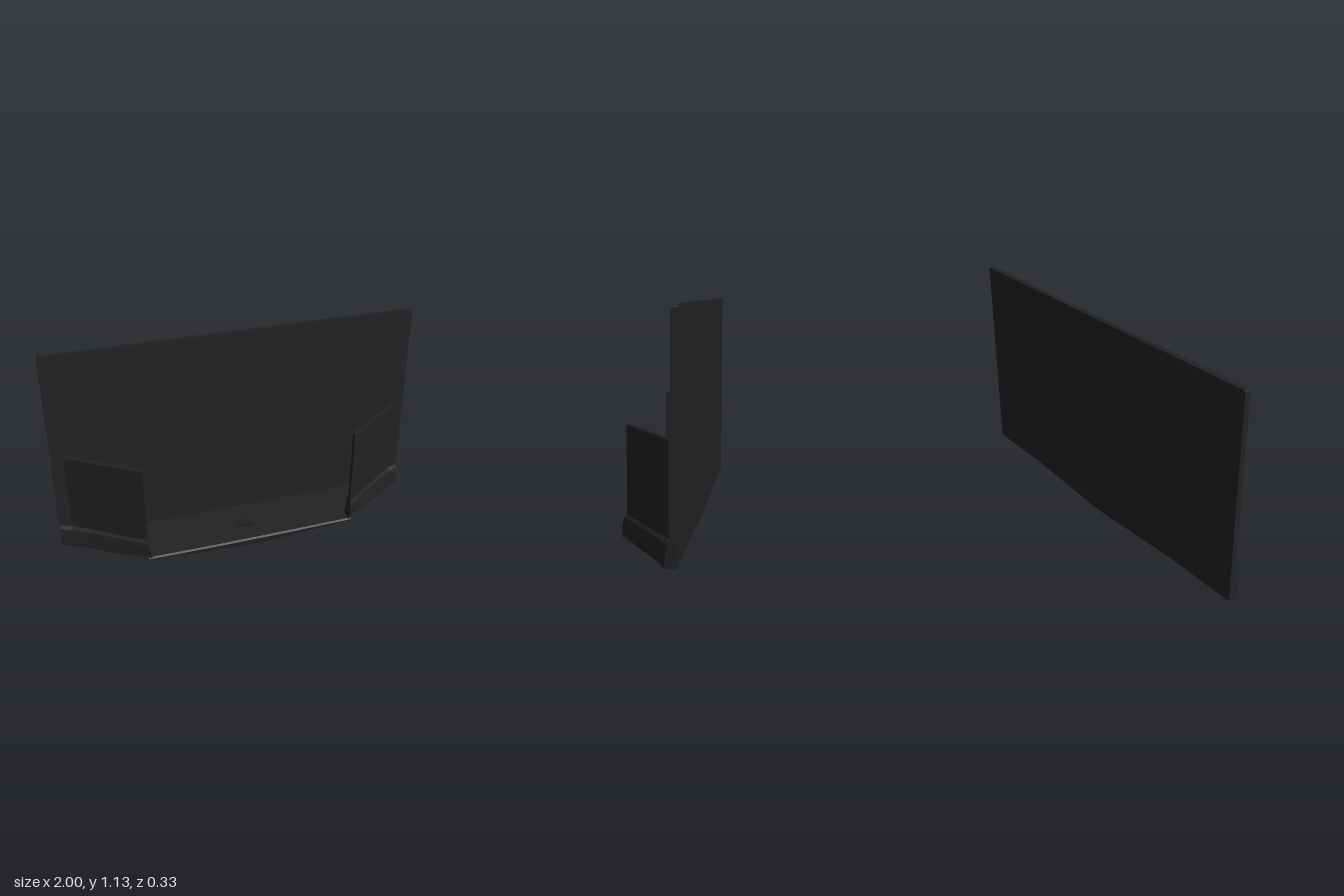
import * as THREE from 'three';

// Closed, flat-shaded skin through rings of [x, y, z] points running towards +x.
// Each ring goes top back, top front, bottom front, bottom back.
function loft(rings) {
  const n = rings[0].length, pos = [];
  const tri = (a, b, c) => pos.push(...a, ...b, ...c);
  for (let i = 0; i < rings.length - 1; i++) {
    const a = rings[i], b = rings[i + 1];
    for (let j = 0; j < n; j++) {
      const k = (j + 1) % n;
      tri(a[j], a[k], b[j]);
      tri(a[k], b[k], b[j]);
    }
  }
  const first = rings[0], last = rings[rings.length - 1];
  for (let j = 1; j < n - 1; j++) {
    tri(first[0], first[j + 1], first[j]);
    tri(last[0], last[j], last[j + 1]);
  }
  const g = new THREE.BufferGeometry();
  g.setAttribute('position', new THREE.Float32BufferAttribute(pos, 3));
  g.computeVertexNormals();
  return g;
}

// Mirror rings to the other side, keeping them running towards +x
const mirror = (rings) => rings.map((r) => r.map(([x, y, z]) => [-x, y, z])).reverse();

export function createModel() {
  const model = new THREE.Group();
  model.name = 'displayStand';
  const charcoal = new THREE.MeshStandardMaterial({ color: 0x222222 });
  charcoal.name = 'charcoal';
  const add = (name, geometry) => {
    const mesh = new THREE.Mesh(geometry, charcoal);
    mesh.name = name;
    model.add(mesh);
    return mesh;
  };

  // Tall back panel with slightly rounded corners
  const r = 0.015, bottom = 0.035, top = 1.135;
  const outline = new THREE.Shape();
  outline.moveTo(-1, bottom);
  outline.lineTo(1, bottom);
  outline.lineTo(1, top - r);
  outline.quadraticCurveTo(1, top, 1 - r, top);
  outline.lineTo(-1 + r, top);
  outline.quadraticCurveTo(-1, top, -1, top - r);
  const back = new THREE.ExtrudeGeometry(outline, { depth: 0.03, bevelEnabled: false, curveSegments: 4 });
  back.translate(0, 0, -0.167);
  add('backPanel', back);

  // Floor: tapered plan, shallow keel underneath; stations are [x, front z, bottom y]
  const half = [[0.08, 0.165, 0.003], [0.2, 0.165, 0.012], [0.58, 0.16, 0.032], [0.72, 0.06, 0.035],
    [0.85, -0.03, 0.035], [0.94, -0.085, 0.035], [1, -0.11, 0.035]];
  const floorRings = half.map(([x, z, y]) => [
    [x, 0.06, -0.165], [x, 0.046, z - 0.008], [x, 0.038, z], [x, y, z - 0.004], [x, y, -0.165]]);
  add('floor', loft([...mirror(floorRings), ...floorRings]));

  // Angled plinths along the slanted sides, with a softened top edge
  const plinthRings = half.slice(2).map(([x, z], i) => {
    const inner = i === 0 ? 1 : 0;
    return [[-0.065, 0.145, 0], [-0.03, 0.145, 0], [-0.014, 0.13, 0], [-0.006, 0.1, -0.004],
      [0, 0.05, -0.016], [0, 0.034, -0.016], [-0.065, 0.034, -0.016]]
      .map(([dz, y, dx]) => [x + dx * inner, y, Math.max(z + dz, -0.165)]);
  });
  add('leftPlinth', loft(plinthRings));
  add('rightPlinth', loft(mirror(plinthRings)));

  // Thin upright wing panels standing on the plinths
  const wingRings = [[0.58, 0.132], [0.935, -0.12]].map(([x, z]) => [
    [x, 0.575, z - 0.025], [x, 0.575, z - 0.004], [x, 0.57, z], [x, 0.14, z], [x, 0.14, z - 0.025]]);
  add('leftWing', loft(wingRings));
  add('rightWing', loft(mirror(wingRings)));

  // Small skewed plate lying on the floor
  const plate = new THREE.Shape([[-0.03, 0.08], [-0.07, -0.045], [0.03, -0.06], [0.04, 0.07]]
    .map(([x, y]) => new THREE.Vector2(x, y)));
  const plateGeometry = new THREE.ExtrudeGeometry(plate, { depth: 0.025, bevelEnabled: false });
  plateGeometry.rotateX(-Math.PI / 2);
  add('floorPlate', plateGeometry).position.y = 0.048;

  return model;
}
